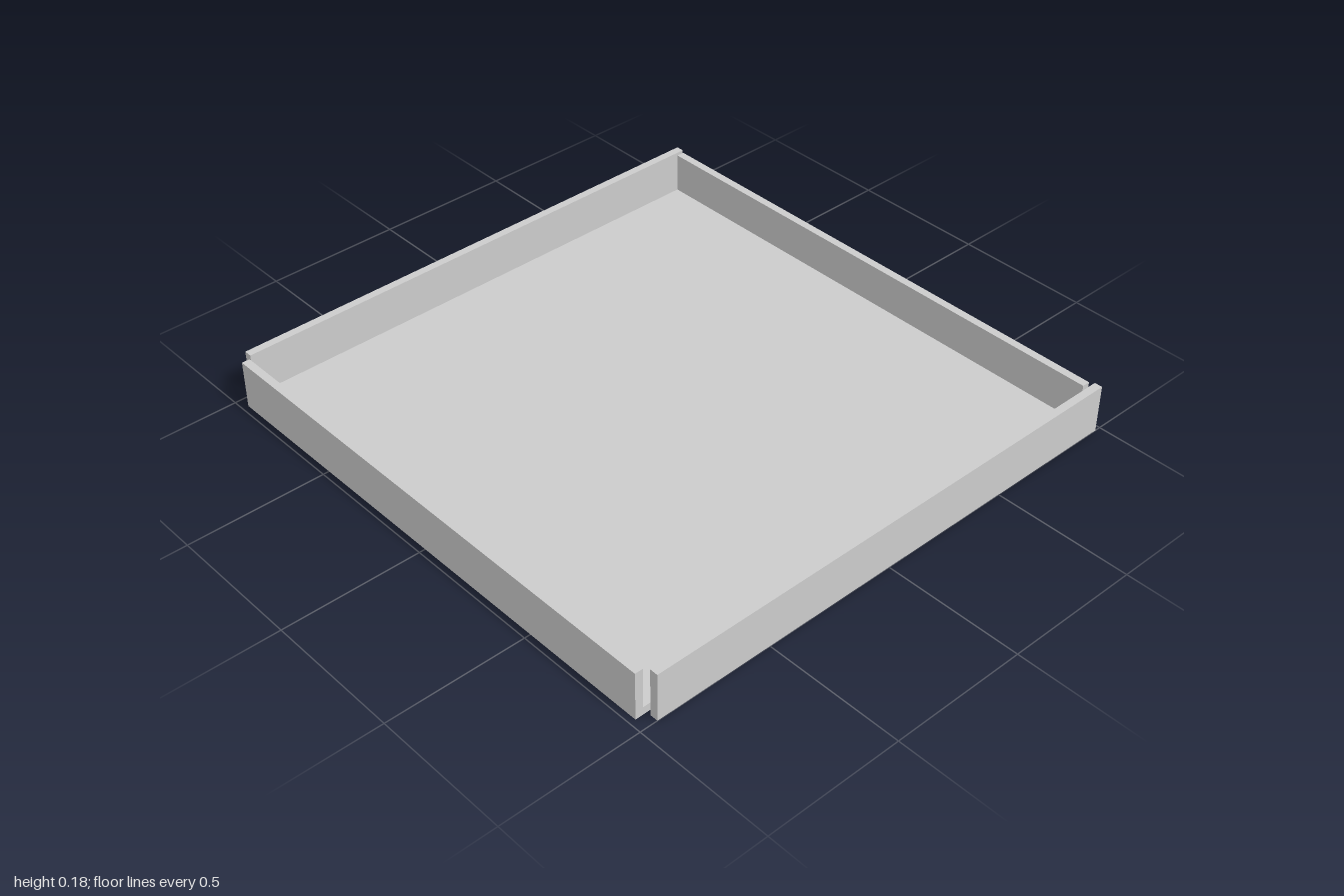
import * as THREE from 'three';

export function createModel() {
  const group = new THREE.Group();
  const material = new THREE.MeshStandardMaterial({ color: 0xcccccc });
  const height = 0.177, thick = 0.029, halfWidth = 0.956;

  // Box panel given by its x, y and z ranges
  function panel(name, [x0, x1], [y0, y1], [z0, z1]) {
    const mesh = new THREE.Mesh(new THREE.BoxGeometry(x1 - x0, y1 - y0, z1 - z0), material);
    mesh.position.set((x0 + x1) / 2, (y0 + y1) / 2, (z0 + z1) / 2);
    mesh.name = name;
    group.add(mesh);
  }

  // Tray floor with the front and back boards against its ends
  const across = [-halfWidth, halfWidth];
  panel('floor', across, [0, thick], [-0.938, 0.949]);
  panel('frontBoard', across, [0, height], [0.949, 0.978]);
  panel('backBoard', across, [0, height], [-0.967, -0.938]);

  // Side boards, set slightly apart from the floor and shifted to the back
  panel('leftBoard', [1 - thick, 1], [0, height], [-0.978, 0.936]);
  panel('rightBoard', [-1, thick - 1], [0, height], [-0.978, 0.936]);

  return group;
}
